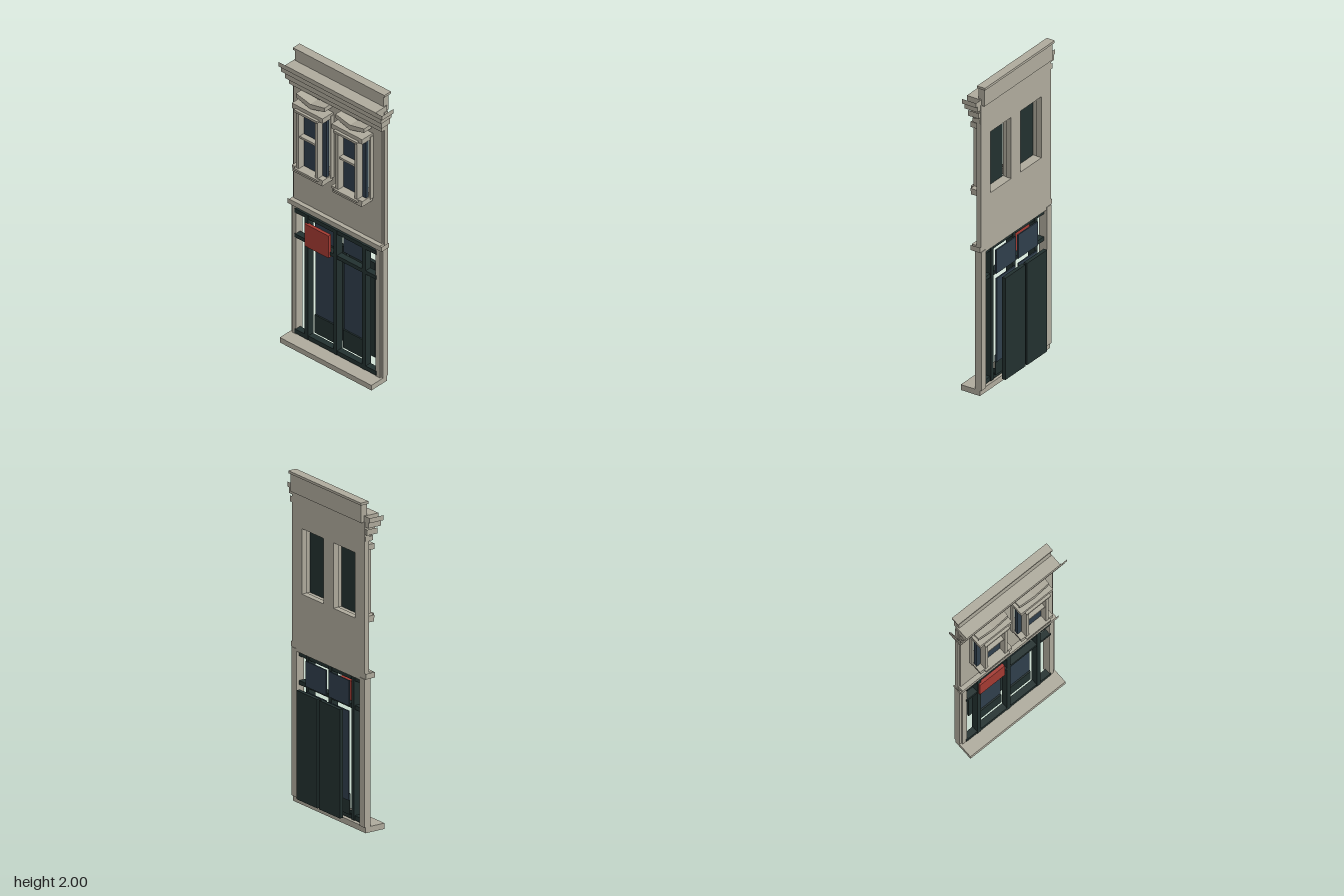
import * as THREE from 'three';

const mat = (name, color) => {
  const m = new THREE.MeshStandardMaterial({ color });
  m.name = name;
  return m;
};

export function createModel() {
  const stone = mat('stone', 0xaeaa9c);
  const paint = mat('dark green paint', 0x22302f);
  const glass = mat('blue glass', 0x2f3e4b);
  const red = mat('red sign paint', 0xa33a32);

  const model = new THREE.Group();
  model.name = 'shopfront';

  // Box given by its limits on each axis
  const box = (name, m, x0, x1, y0, y1, z0, z1, parent = model) => {
    const mesh = new THREE.Mesh(new THREE.BoxGeometry(x1 - x0, y1 - y0, z1 - z0), m);
    mesh.position.set((x0 + x1) / 2, (y0 + y1) / 2, (z0 + z1) / 2);
    mesh.name = name;
    parent.add(mesh);
    return mesh;
  };
  // The same box on both sides of x = 0
  const pair = (name, m, x0, x1, ...rest) => [
    box(name, m, x0, x1, ...rest),
    box(name, m, -x1, -x0, ...rest),
  ];
  // Moulding with end returns that are open above and below
  const moulding = (name, end, y0, y1, z0, z1) => {
    box(name, stone, -0.35, 0.35, y0, y1, z0, z1);
    for (const r of pair(name + 'Return', stone, 0.35, end, y0, y1, z0, z1)) {
      const i = Array.from(r.geometry.index.array);
      r.geometry.setIndex([...i.slice(0, 12), ...i.slice(24)]);
      r.geometry.clearGroups();
    }
  };

  // Upper wall with two window openings
  const rect = (S, x0, x1, y0, y1) => {
    const s = new S();
    s.moveTo(x0, y0);
    s.lineTo(x1, y0);
    s.lineTo(x1, y1);
    s.lineTo(x0, y1);
    s.closePath();
    return s;
  };
  const wallShape = rect(THREE.Shape, -0.342, 0.342, 0.915, 1.9);
  for (const c of [-0.153, 0.153])
    wallShape.holes.push(rect(THREE.Path, c - 0.105, c + 0.105, 1.275, 1.67));
  const wall = new THREE.Mesh(
    new THREE.ExtrudeGeometry(wallShape, { depth: 0.037, bevelEnabled: false }), stone);
  wall.position.z = -0.037;
  wall.name = 'upperWall';
  model.add(wall);
  pair('wallCorner', stone, 0.342, 0.354, 0.93, 1.88, -0.037, -0.008);

  // Parapet, cornice and string course
  box('parapet', stone, -0.343, 0.343, 1.875, 1.985, -0.055, -0.013);
  box('parapetCap', stone, -0.353, 0.353, 1.985, 2, -0.064, -0.009);
  moulding('corniceCrown', 0.4, 1.885, 1.915, -0.035, 0.063);
  moulding('corniceUpper', 0.386, 1.85, 1.885, -0.035, 0.055);
  moulding('corniceMiddle', 0.374, 1.803, 1.838, -0.035, 0.038);
  moulding('corniceLower', 0.358, 1.762, 1.79, -0.035, 0.02);
  box('frieze', stone, -0.345, 0.345, 1.79, 1.85, -0.03, 0.012);
  moulding('stringCourse', 0.364, 0.932, 0.965, -0.037, 0.028);

  // Projecting upper windows
  const hood = new THREE.Shape();
  [[-0.11, 1.735], [0, 1.705], [0.11, 1.735], [0.11, 1.762], [0, 1.738], [-0.11, 1.762]]
    .forEach(([x, y], i) => (i ? hood.lineTo(x, y) : hood.moveTo(x, y)));
  hood.closePath();
  for (const c of [-0.153, 0.153]) {
    const win = new THREE.Group();
    win.name = 'window';
    win.position.x = c;
    model.add(win);
    const part = (name, m, ...limits) => box(name, m, ...limits, win);

    part('windowGlass', glass, -0.112, 0.112, 1.272, 1.67, 0.029, 0.05);
    part('windowBacking', paint, -0.11, 0.11, 1.272, 1.67, 0.025, 0.029);
    part('windowApron', stone, -0.115, 0.115, 1.232, 1.256, 0, 0.09);
    part('windowSill', stone, -0.119, 0.119, 1.256, 1.272, 0, 0.09);
    part('windowSillNose', stone, -0.09, 0.09, 1.258, 1.272, 0.09, 0.107);
    part('windowHead', stone, -0.119, 0.119, 1.67, 1.704, 0, 0.09);
    part('windowHeadNose', stone, -0.09, 0.09, 1.665, 1.68, 0.09, 0.107);
    for (const s of [-1, 1]) {
      part('windowTrim', stone, s * 0.118 - 0.006, s * 0.118 + 0.006, 1.256, 1.69, 0, 0.025);
      part('sashPost', stone, s * 0.073 - 0.01, s * 0.073 + 0.01, 1.272, 1.67, 0.05, 0.094);
    }
    part('sashRail', stone, -0.063, 0.063, 1.482, 1.496, 0.05, 0.085);
    part('sashTopRail', stone, -0.063, 0.063, 1.658, 1.67, 0.05, 0.085);

    const pediment = new THREE.Mesh(
      new THREE.ExtrudeGeometry(hood, { depth: 0.065, bevelEnabled: false }), stone);
    pediment.name = 'windowPediment';
    win.add(pediment);
  }

  // Ground floor: doorstep and pilasters
  box('doorstep', stone, -0.354, 0.354, 0, 0.035, -0.03, 0.102);
  pair('pilaster', stone, 0.308, 0.34, 0.035, 0.932, -0.04, 0.015);
  pair('pilasterSide', stone, 0.34, 0.354, 0.035, 0.932, -0.04, 0.004);

  // Painted frame
  for (const [y0, y1] of [[0.043, 0.072], [0.712, 0.737], [0.885, 0.912]])
    box('frameRail', paint, -0.315, 0.315, y0, y1, -0.02, 0.02);
  for (const x of [-0.222, 0, 0.222])
    box('framePost', paint, x - 0.013, x + 0.013, 0.043, 0.912, -0.025, 0.022);

  // Transom panes, door glass, kick panels and set-back door leaves
  pair('transomPane', glass, 0.012, 0.21, 0.732, 0.885, -0.045, -0.037);
  pair('doorGlass', glass, 0.014, 0.205, 0.16, 0.7, -0.045, -0.037);
  pair('kickPanel', paint, 0.014, 0.205, 0.072, 0.198, -0.037, -0.028);
  pair('doorLeaf', paint, 0.009, 0.211, 0.065, 0.722, -0.109, -0.085);

  // Blank hanging sign
  box('sign', red, -0.226, -0.041, 0.7, 0.855, 0.013, 0.034);

  return model;
}
